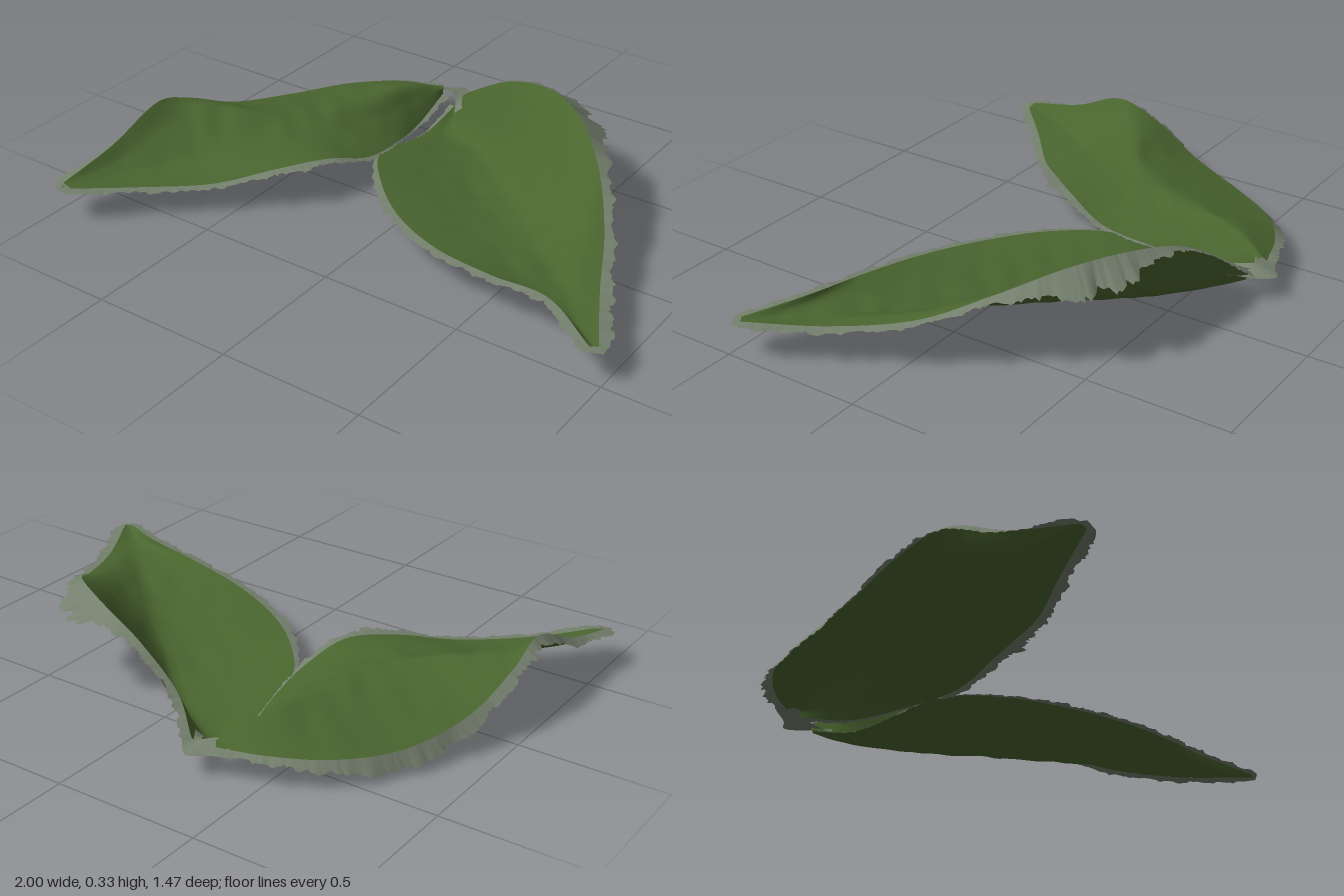
import * as THREE from 'three';

const leafGreen = new THREE.MeshStandardMaterial({ color: 0x4a652f, side: THREE.DoubleSide });
leafGreen.name = 'leaf green';
const paleRim = new THREE.MeshStandardMaterial({ color: 0x747f6d, side: THREE.DoubleSide });
paleRim.name = 'pale rim';

// Small seeded random generator
function seeded(seed) {
  return () => {
    seed = (seed * 16807) % 2147483647;
    return seed / 2147483647;
  };
}

// Surface over a grid of points: at(i, j) for i along and j across
function sheet(name, along, across, at, flip, material) {
  const positions = [], index = [];
  for (let i = 0; i <= along; i++) {
    for (let j = 0; j <= across; j++) positions.push(...at(i, j).toArray());
  }
  for (let i = 0; i < along; i++) {
    for (let j = 0; j < across; j++) {
      const a = i * (across + 1) + j, b = a + across + 1;
      if (flip) index.push(a, b, a + 1, a + 1, b, b + 1);
      else index.push(a, a + 1, b, a + 1, b + 1, b);
    }
  }
  const geometry = new THREE.BufferGeometry();
  geometry.setAttribute('position', new THREE.Float32BufferAttribute(positions, 3));
  geometry.setIndex(index);
  geometry.computeVertexNormals();
  const mesh = new THREE.Mesh(geometry, material);
  mesh.name = name;
  return mesh;
}

const curve = (points) => new THREE.CatmullRomCurve3(points.map((p) => new THREE.Vector3(...p)));

// Leaf lofted through rows of points from outer edge to inner edge, with a ragged rim
function makeLeaf({ name, rows, side, seed, bumps }) {
  const group = new THREE.Group();
  group.name = name;
  const lines = rows[0].map((_, k) => curve(rows.map((r) => r[k])));
  const outer = lines[0], inner = lines[lines.length - 1], spans = lines.length - 1;
  const flip = side < 0;
  const LONG = 90, WIDE = 24;

  // Blade: a softly creased section with faint wrinkles
  const blade = (i, j) => {
    const t = i / LONG, u = j / WIDE;
    const section = lines.map((l) => l.getPoint(t));
    const k = Math.min(spans - 1, Math.floor(u * spans));
    const p = section[k].clone().lerp(section[k + 1], u * spans - k);
    p.lerp(new THREE.CatmullRomCurve3(section, false, 'catmullrom').getPoint(u), 0.6);
    const fade = Math.sin(Math.PI * u) * Math.sin(Math.PI * t);
    p.y += fade * 0.0025 * (Math.sin(p.x * 37 + 2 * Math.sin(p.z * 19)) + Math.sin(p.z * 43 + 2 * Math.sin(p.x * 29)));
    return p;
  };
  group.add(sheet('blade', LONG, WIDE, blade, flip, leafGreen));

  // Rim: follows the outer edge to the tip and returns along the inner edge
  const STEPS = 360, random = seeded(seed);
  const edge = (s) => (s <= 0.5 ? outer.getPoint(s * 2) : inner.getPoint(2 - s * 2));
  const border = [];
  for (let i = 0; i <= STEPS; i++) {
    const s = i / STEPS;
    const ahead = edge(Math.min(1, s + 0.008)), behind = edge(Math.max(0, s - 0.008));
    const t = ahead.sub(behind).setY(0).normalize();
    let width = 0.036, drop = 0.004;
    for (const b of bumps) {
      const k = Math.exp(-(((s - b.at) / b.reach) ** 2));
      width += b.width * k;
      drop += b.drop * k;
    }
    const ragged = 0.8 + 0.12 * Math.sin(i * 0.37) + 0.1 * Math.sin(i * 0.83) + 0.3 * (random() - 0.5);
    const out = new THREE.Vector3(t.z * side, 0, -t.x * side).multiplyScalar(width * ragged);
    out.y = -drop * (0.5 + 0.5 * ragged) + 0.005 * (random() - 0.5);
    border.push([edge(s), out]);
  }
  const rim = (i, j) => {
    const [p, out] = border[i];
    return p.clone().addScaledVector(out, 1 - j / 2);
  };
  group.add(sheet('raggedRim', STEPS, 2, rim, flip, paleRim));
  return group;
}

export function createModel() {
  const model = new THREE.Group();
  model.name = 'leafPair';

  // Large leaf with its back half raised: outer edge, midrib, inner edge
  model.add(makeLeaf({
    name: 'largeLeaf', side: 1, seed: 71,
    rows: [
      [[-0.24, 0.09, -0.67], [-0.25, 0.05, -0.65], [-0.26, 0.05, -0.64]],
      [[-0.14, 0.17, -0.60], [-0.2, 0.012, -0.55], [-0.268, 0.012, -0.46]],
      [[0.04, 0.275, -0.555], [0, 0.03, -0.42], [-0.25, 0.075, -0.15]],
      [[0.24, 0.325, -0.49], [0.2, 0.048, -0.23], [-0.12, 0.09, 0.03]],
      [[0.42, 0.315, -0.38], [0.4, 0.068, -0.06], [0.06, 0.09, 0.18]],
      [[0.58, 0.245, -0.22], [0.58, 0.085, 0.11], [0.28, 0.1, 0.285]],
      [[0.71, 0.16, -0.03], [0.73, 0.1, 0.26], [0.52, 0.12, 0.34]],
      [[0.835, 0.115, 0.22], [0.85, 0.103, 0.39], [0.74, 0.14, 0.37]],
      [[0.97, 0.115, 0.47], [0.97, 0.112, 0.485], [0.955, 0.115, 0.49]],
    ],
    bumps: [
      { at: 0.23, reach: 0.055, width: 0.075, drop: 0.075 },
      { at: 0.45, reach: 0.05, width: 0.015, drop: 0 },
      { at: 0.91, reach: 0.08, width: -0.03, drop: 0 },
    ],
  }));

  // Small twisting leaf: outer edge, ridge, hollow, inner edge
  model.add(makeLeaf({
    name: 'smallLeaf', side: -1, seed: 1213,
    rows: [
      [[-0.34, 0.09, -0.68], [-0.335, 0.1, -0.67], [-0.325, 0.1, -0.66], [-0.32, 0.08, -0.65]],
      [[-0.5, 0.09, -0.63], [-0.4, 0.148, -0.52], [-0.35, 0.1, -0.49], [-0.3, 0.04, -0.46]],
      [[-0.66, 0.08, -0.52], [-0.45, 0.158, -0.34], [-0.36, 0.11, -0.3], [-0.265, 0.06, -0.27]],
      [[-0.79, 0.075, -0.34], [-0.52, 0.168, -0.17], [-0.4, 0.135, -0.12], [-0.255, 0.09, -0.08]],
      [[-0.88, 0.115, -0.1], [-0.62, 0.183, -0.02], [-0.49, 0.15, 0.04], [-0.31, 0.14, 0.08]],
      [[-0.92, 0.205, 0.1], [-0.78, 0.212, 0.11], [-0.64, 0.142, 0.2], [-0.42, 0.13, 0.22]],
      [[-0.92, 0.255, 0.25], [-0.86, 0.19, 0.28], [-0.75, 0.112, 0.33], [-0.57, 0.095, 0.37]],
      [[-0.945, 0.17, 0.47], [-0.91, 0.13, 0.48], [-0.86, 0.105, 0.5], [-0.77, 0.095, 0.54]],
      [[-0.965, 0.12, 0.69], [-0.96, 0.117, 0.7], [-0.95, 0.115, 0.705], [-0.935, 0.112, 0.7]],
    ],
    bumps: [
      { at: 0.19, reach: 0.1, width: 0.004, drop: 0.048 },
      { at: 0.4, reach: 0.06, width: 0, drop: 0.025 },
      { at: 0.5, reach: 0.03, width: 0.012, drop: 0 },
      { at: 0.71, reach: 0.03, width: 0.025, drop: -0.004 },
      { at: 0.89, reach: 0.08, width: -0.03, drop: 0 },
    ],
  }));

  // Pale stalk joining the two leaves
  const back = curve([[-0.41, 0.08, -0.69], [-0.33, 0.075, -0.715], [-0.28, 0.075, -0.748], [-0.22, 0.08, -0.69], [-0.17, 0.1, -0.62]]);
  const front = curve([[-0.36, 0.1, -0.65], [-0.32, 0.1, -0.645], [-0.28, 0.09, -0.66], [-0.25, 0.07, -0.63], [-0.23, 0.05, -0.59]]);
  const stalk = (i, j) => back.getPoint(i / 24).lerp(front.getPoint(i / 24), j / 2);
  model.add(sheet('stalk', 24, 2, stalk, false, paleRim));

  return model;
}
